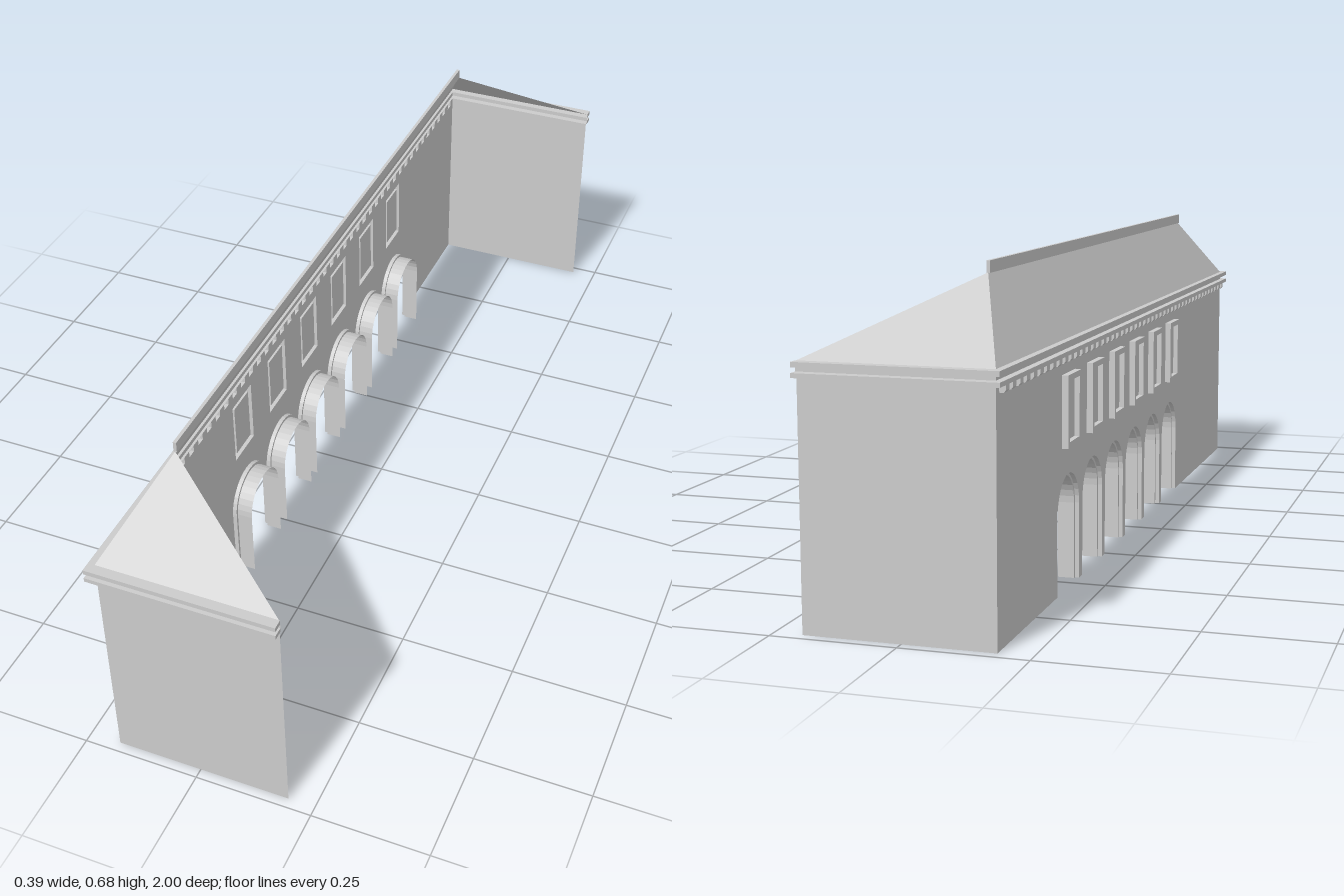
import * as THREE from 'three';

const XW = -0.183, XE = 0.193, ZW = 0.979;      // long wall, open edge, end walls
const WALL_TOP = 0.478, EAVE = 0.507, RIDGE = 0.655;
const RIDGE_X = -0.103, RIDGE_Z = 0.785;
const DENTIL_Y = 0.463, DENTIL_HALF = 0.01;
const BAYS = [...Array(6)].map((_, i) => -0.534 + i * 0.1776);
const DENTILS = [...Array(48)].map((_, i) => (i - 23.5) * 0.0405);
const ARCH_R = 0.077, SPRING = 0.158, WINDOW_Y = 0.3655, WIN_W = 0.0455, WIN_H = 0.073;

const material = new THREE.MeshStandardMaterial({
  color: 0xcccccc, flatShading: true, side: THREE.DoubleSide,
});
const v = (x, y, z) => new THREE.Vector3(x, y, z);

function part(name, geometry, parent) {
  const mesh = new THREE.Mesh(geometry, material);
  mesh.name = name;
  parent.add(mesh);
  return mesh;
}

// Surface stretched across successive rows of points
function skin(rows) {
  const pos = [];
  const tri = (a, b, c) => {
    const area = b.clone().sub(a).cross(c.clone().sub(a)).length();
    if (area > 1e-9) for (const p of [a, b, c]) pos.push(p.x, p.y, p.z);
  };
  for (let i = 0; i + 1 < rows.length; i++) {
    for (let j = 0; j + 1 < rows[i].length; j++) {
      const a = rows[i][j], b = rows[i][j + 1], c = rows[i + 1][j + 1], d = rows[i + 1][j];
      tri(a, b, c);
      tri(a, c, d);
    }
  }
  const g = new THREE.BufferGeometry();
  g.setAttribute('position', new THREE.Float32BufferAttribute(pos, 3));
  g.computeVertexNormals();
  return g;
}

// Profile of [offset, y] carried along stations [x, z, offset x, offset z]
const sweep = (profile, stations) => skin(profile.map(([o, y]) =>
  stations.map(([x, z, dx, dz]) => v(x + dx * o, y, z + dz * o))));

// Round-headed outline, from +z foot to -z foot, as [z, y]
function archOutline(c, r) {
  const pts = [[c + r, 0]];
  for (let i = 0; i <= 16; i++) {
    const a = (i / 16) * Math.PI;
    pts.push([c + r * Math.cos(a), SPRING + r * Math.sin(a)]);
  }
  pts.push([c - r, 0]);
  return pts;
}

// Closed rectangle outline, as [z, y]
const rectOutline = (c, hw, hh) => [[1, 1], [-1, 1], [-1, -1], [1, -1], [1, 1]]
  .map(([a, b]) => [c + a * hw, WINDOW_Y + b * hh]);

// Stepped shell from [x, outline] pairs
const steps = list => skin(list.map(([x, outline]) => outline.map(([z, y]) => v(x, y, z))));

// Flat wall with arch openings, window holes and notches behind the dentils
function longWallGeometry() {
  const outline = [[-ZW, 0]];
  for (const c of BAYS) outline.push(...archOutline(c, ARCH_R).reverse());
  outline.push([ZW, 0], [ZW, WALL_TOP]);
  for (const c of [...DENTILS].reverse()) {
    const a = c + DENTIL_HALF, b = c - DENTIL_HALF;
    outline.push([a, WALL_TOP], [a, DENTIL_Y], [b, DENTIL_Y], [b, WALL_TOP]);
  }
  outline.push([-ZW, WALL_TOP]);
  const toVec = ([z, y]) => new THREE.Vector2(z, y);
  const shape = new THREE.Shape(outline.map(toVec));
  for (const c of BAYS) {
    shape.holes.push(new THREE.Path(rectOutline(c, WIN_W, WIN_H).slice(0, 4).map(toVec)));
  }
  return new THREE.ShapeGeometry(shape).rotateY(-Math.PI / 2).translate(XW, 0, 0);
}

export function createModel() {
  const model = new THREE.Group();
  model.name = 'arcadedBuilding';

  // Walls: one long side and two ends, open towards +x
  part('longWall', longWallGeometry(), model);
  const flat = [[0, 0], [0, WALL_TOP]];
  part('backEndWall', sweep(flat, [[XE, -ZW, 0, 0], [XW, -ZW, 0, 0]]), model);
  part('frontEndWall', sweep(flat, [[XW, ZW, 0, 0], [XE, ZW, 0, 0]]), model);

  // Arches with a stepped reveal, and framed windows above them
  const arches = new THREE.Group();
  arches.name = 'arches';
  const windows = new THREE.Group();
  windows.name = 'windows';
  model.add(arches, windows);
  for (const c of BAYS) {
    const outer = archOutline(c, ARCH_R), inner = archOutline(c, 0.071);
    part('archReveal', steps([[XW, outer], [-0.174, outer], [-0.174, inner], [-0.14, inner]]), arches);
    const frame = rectOutline(c, WIN_W, WIN_H), pane = rectOutline(c, 0.034, 0.061);
    part('windowFrame', steps([
      [XW, frame], [-0.196, frame], [-0.196, pane], [-0.185, pane], [-0.185, rectOutline(c, 0, 0)],
    ]), windows);
  }

  // Double-banded cornice around the three walls, closed at its ends
  const end = XE + 0.002, outX = 0.014, outZ = 1 - ZW;
  part('cornice', sweep(
    [[0, WALL_TOP], [1, WALL_TOP], [1, 0.487], [0, 0.487], [0, 0.497], [1, 0.497], [1, EAVE], [0, EAVE]],
    [[end, -ZW, 0, 0], [end, -ZW, 0, -outZ], [XW, -ZW, -outX, -outZ],
      [XW, ZW, -outX, outZ], [end, ZW, 0, outZ], [end, ZW, 0, 0]]), model);

  // Dentils under the long cornice
  const dentils = new THREE.Group();
  dentils.name = 'dentils';
  model.add(dentils);
  const dentil = sweep(
    [[0, DENTIL_Y], [0.008, DENTIL_Y], [0.012, 0.468], [0.012, WALL_TOP]],
    [[XW, -DENTIL_HALF, 0, 0], [XW, -DENTIL_HALF, -1, 0], [XW, DENTIL_HALF, -1, 0], [XW, DENTIL_HALF, 0, 0]]);
  for (const z of DENTILS) part('dentil', dentil, dentils).position.z = z;

  // Hipped roof and ridge cap
  part('roof', skin([
    [v(XE, EAVE, -ZW), v(XW, EAVE, -ZW), v(XW, EAVE, ZW), v(XE, EAVE, ZW)],
    [-1, -1, 1, 1].map(s => v(RIDGE_X, RIDGE, s * RIDGE_Z)),
  ]), model);
  part('ridgeCap', new THREE.BoxGeometry(0.007, 0.023, RIDGE_Z * 2), model)
    .position.set(RIDGE_X, 0.6655, 0);

  return model;
}
